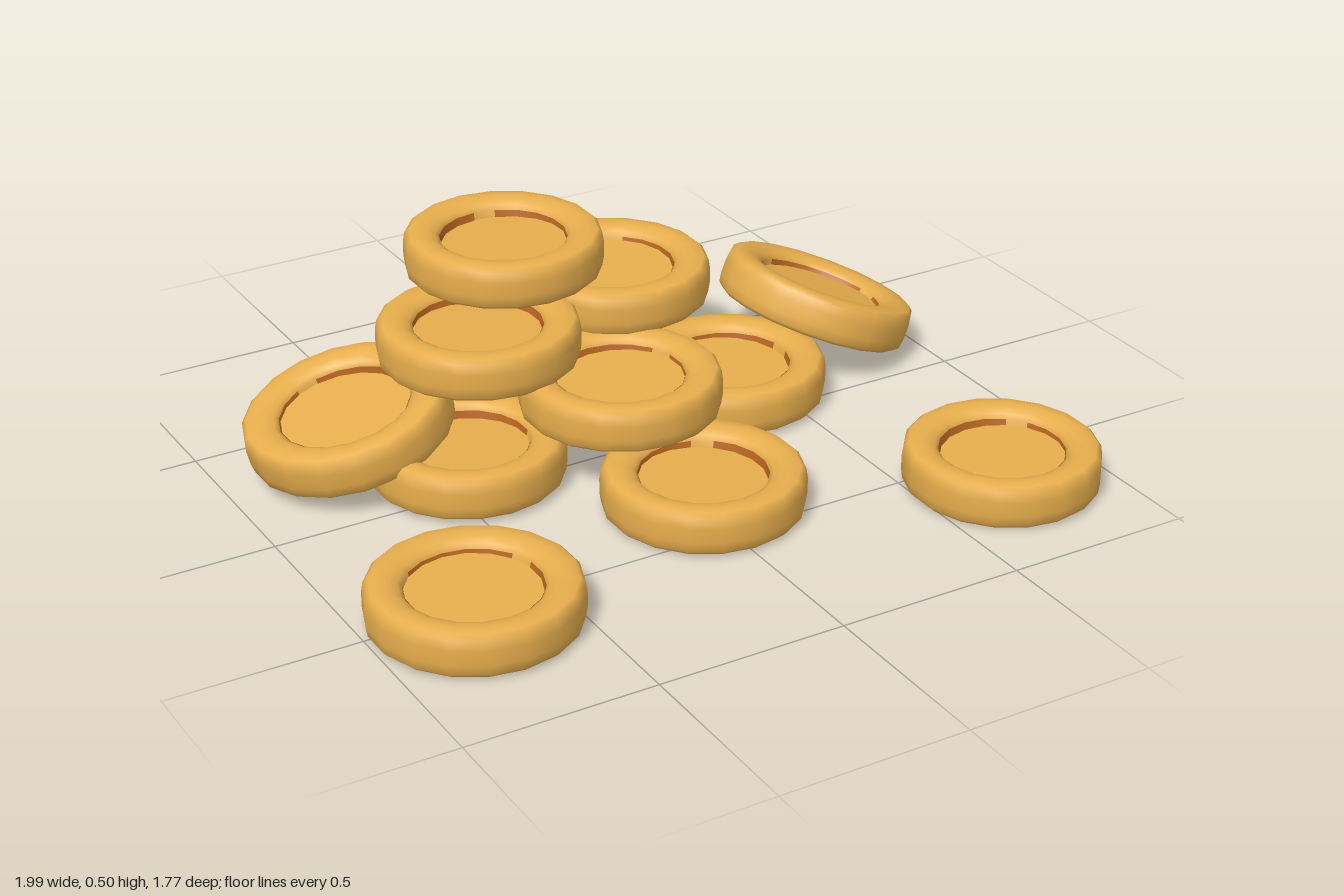
import * as THREE from 'three';

const SIDES = 18;
const gold = new THREE.MeshStandardMaterial({ color: 0xeab04e });
gold.name = 'gold';
const bronze = new THREE.MeshStandardMaterial({ color: 0xb8651f, side: THREE.DoubleSide });
bronze.name = 'bronze';

// Rounded rim cross-section, upper half, from recess floor outward (radius, height)
const upper = [[0.164, 0.008], [0.169, 0.036], [0.179, 0.047], [0.198, 0.057], [0.222, 0.06], [0.248, 0.057], [0.26, 0.046], [0.264, 0.02]];
const profile = [
  ...upper.map(([r, y]) => new THREE.Vector2(r, -y)),
  ...upper.map(([r, y]) => new THREE.Vector2(r, y)).reverse(),
];
const rimGeometry = new THREE.LatheGeometry(profile, SIDES);
const faceGeometry = new THREE.CircleGeometry(0.172, SIDES).rotateX(-Math.PI / 2);
// Sloping worn strip along part of the recess wall
const wornGeometry = new THREE.CylinderGeometry(0.1685, 0.1625, 0.026, 5, 1, true, 0, Math.PI * 5 / 9);

function add(parent, name, geometry, material) {
  const mesh = new THREE.Mesh(geometry, material);
  mesh.name = name;
  parent.add(mesh);
  return mesh;
}

// One coin: raised rim, and on each side a slightly uneven face with worn bronze arcs round it
function makeCoin(index) {
  const coin = new THREE.Group();
  coin.name = 'coin' + (index + 1);
  add(coin, 'rim', rimGeometry, gold);
  const lean = 0.035;
  const turn = index * 2.4;
  for (const flip of [0, Math.PI]) {
    const side = new THREE.Group();
    side.name = flip ? 'underside' : 'upperSide';
    side.rotation.x = flip;
    coin.add(side);
    const face = add(side, 'face', faceGeometry, gold);
    face.position.y = 0.022;
    face.rotation.set(lean * Math.cos(turn), 0, lean * Math.sin(turn));
    for (let i = 0; i < 3; i++) {
      const arc = add(side, 'wornArc', wornGeometry, bronze);
      arc.position.y = 0.024;
      arc.rotation.y = (i * 6 + index % 6) * Math.PI / 9;
    }
  }
  return coin;
}

// x, y, z of the centre, tilt about z, scale of the radius
const coins = [
  // loose coins in front
  [-0.735, 0.061, 0.55, 0, 1],
  [0.726, 0.061, 0.627, 0, 0.96],
  [0.01, 0.061, 0.353, 0, 0.985],
  // bottom layer
  [0.033, 0.068, -0.6, 0, 1.09],
  [-0.43, 0.067, -0.08, 0, 0.97],
  [0.38, 0.067, -0.13, 0, 0.99],
  // stacked layers
  [-0.038, 0.201, 0.02, 0, 0.995],
  [-0.318, 0.31, -0.22, 0, 1],
  [0.16, 0.31, -0.37, 0, 0.995],
  [-0.138, 0.438, -0.417, 0, 0.995],
  // leaning coins
  [-0.67, 0.147, -0.265, 0.25, 1.03],
  [0.737, 0.159, -0.25, -0.39, 1.02],
];

export function createModel() {
  const model = new THREE.Group();
  model.name = 'coinPile';
  coins.forEach(([x, y, z, tilt, size], i) => {
    const coin = makeCoin(i);
    coin.position.set(x, y, z);
    coin.rotation.z = tilt;
    coin.scale.set(size, 1, size);
    model.add(coin);
  });
  return model;
}
